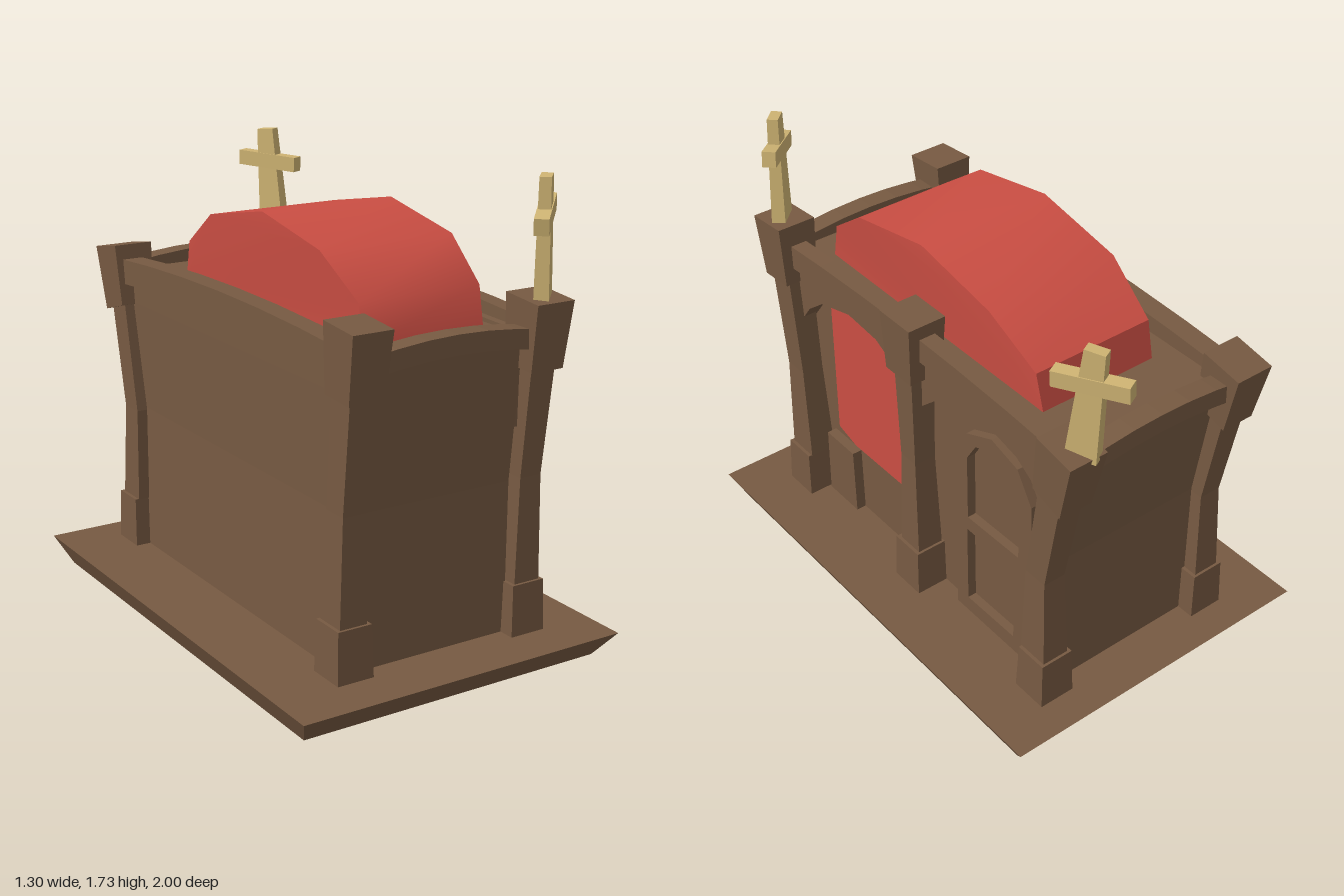
import * as THREE from 'three';
import { toCreasedNormals } from 'three/addons/utils/BufferGeometryUtils.js';

const wood = new THREE.MeshStandardMaterial({ color: 0x775a42 });
wood.name = 'brown wood';
const cloth = new THREE.MeshStandardMaterial({ color: 0xcb4e43 });
cloth.name = 'red cloth';
const gold = new THREE.MeshStandardMaterial({ color: 0xcfb473 });
gold.name = 'pale gold';

function add(parent, name, geometry, material) {
  const mesh = new THREE.Mesh(geometry, material);
  mesh.name = name;
  parent.add(mesh);
  return mesh;
}

// Four-sided solid through sections [x0, x1, z0, z1, y at z1, y at z0]
function loft(sections) {
  const rings = sections.map(([x0, x1, z0, z1, yF, yB = yF]) =>
    [[x0, yF, z1], [x1, yF, z1], [x1, yB, z0], [x0, yB, z0]]);
  const out = [];
  const quad = (a, b, c, d) => out.push(...a, ...b, ...c, ...a, ...c, ...d);
  for (let r = 0; r < rings.length - 1; r++) {
    for (let i = 0; i < 4; i++) {
      const j = (i + 1) % 4;
      quad(rings[r][i], rings[r][j], rings[r + 1][j], rings[r + 1][i]);
    }
  }
  const b = rings[0], t = rings[rings.length - 1];
  quad(b[3], b[2], b[1], b[0]);
  quad(t[0], t[1], t[2], t[3]);
  const g = new THREE.BufferGeometry();
  g.setAttribute('position', new THREE.Float32BufferAttribute(out, 3));
  g.computeVertexNormals();
  return g;
}

const outline = (pts) => pts.map(([z, y]) => new THREE.Vector2(-z, y));

// Plate drawn in [z, y] and extruded along x from x0 to x1
function sidePlate(pts, x0, x1, holes = []) {
  const shape = new THREE.Shape(outline(pts));
  holes.forEach((h) => shape.holes.push(new THREE.Path(outline(h))));
  const g = new THREE.ExtrudeGeometry(shape, { depth: x1 - x0, bevelEnabled: false });
  return g.rotateY(Math.PI / 2).translate(x0, 0, 0);
}

// Gently arched beam outline as [u, y] points
function arch(u0, u1, yEnd, yMid, h) {
  const top = [], bottom = [];
  for (let i = 0; i <= 6; i++) {
    const t = i / 6, y = yEnd + (yMid - yEnd) * (1 - (2 * t - 1) ** 2);
    top.push([u0 + (u1 - u0) * t, y]);
    bottom.unshift([u0 + (u1 - u0) * t, y - h]);
  }
  return [...top, ...bottom];
}

// Pillar with plinth, bent shaft and cap; sections are [half width, z0, z1, yFront, yBack]
function pillar(parent, name, cx, plinth, shaft, cap) {
  const g = new THREE.Group();
  g.name = name;
  parent.add(g);
  const build = (rows) => loft(rows.map(([w, z0, z1, yF, yB]) => [cx - w, cx + w, z0, z1, yF, yB]));
  add(g, 'plinth', build(plinth), wood);
  add(g, 'shaft', build(shaft), wood);
  add(g, 'cap', build(cap), wood);
}

function cross(parent, name, pos, turn, lean, armTilt, armLength, height, armY) {
  const g = new THREE.Group();
  g.name = name;
  g.position.set(...pos);
  g.rotation.y = turn;
  parent.add(g);
  const post = add(g, 'crossPost', loft([
    [-0.055, 0.055, -0.026, 0.026, 0], [-0.036, 0.036, -0.02, 0.02, height]]), gold);
  post.rotation.z = lean;
  const arm = add(g, 'crossArm', new THREE.BoxGeometry(armLength, 0.058, 0.05), gold);
  arm.position.set(-Math.sin(lean) * armY, armY, 0);
  arm.rotation.z = armTilt;
}

export function createModel() {
  const model = new THREE.Group();
  model.name = 'confessionalBooth';

  // Flared platform
  add(model, 'platform', loft([[-0.6, 0.6, -0.83, 0.92, 0], [-0.65, 0.65, -0.91, 1, 0.1]]), wood);

  // Main body, widening towards the top
  add(model, 'body', loft([
    [-0.355, 0.32, -0.71, 0.77, 0.1], [-0.345, 0.32, -0.7, 0.77, 0.66],
    [-0.355, 0.32, -0.77, 0.81, 1.07], [-0.355, 0.32, -0.79, 0.825, 1.19]]), wood);

  // Pillars: four corners, plus one in the middle of the open side
  for (const [side, cx] of [['left', 0.379], ['right', -0.343]]) {
    pillar(model, side + 'FrontPillar', cx,
      [[0.071, 0.685, 0.832, 0.1], [0.066, 0.69, 0.825, 0.29]],
      [[0.053, 0.685, 0.815, 0.29], [0.044, 0.715, 0.815, 0.68], [0.05, 0.75, 0.862, 1.1]],
      [[0.067, 0.74, 0.88, 1.07, 1.08], [0.077, 0.745, 0.915, 1.31, 1.325]]);
    pillar(model, side + 'BackPillar', cx,
      [[0.071, -0.78, -0.635, 0.1], [0.066, -0.775, -0.645, 0.29]],
      [[0.053, -0.765, -0.64, 0.29], [0.044, -0.75, -0.65, 0.65], [0.05, -0.83, -0.72, 1.07]],
      [[0.067, -0.845, -0.708, 1.065, 1.025], [0.077, -0.902, -0.735, 1.295, 1.265]]);
  }
  pillar(model, 'middlePillar', 0.379,
    [[0.071, -0.05, 0.095, 0.1], [0.066, -0.045, 0.09, 0.29]],
    [[0.053, -0.035, 0.075, 0.29], [0.044, -0.02, 0.065, 0.7], [0.05, -0.025, 0.075, 1.1]],
    [[0.067, -0.045, 0.1, 1.08], [0.077, -0.06, 0.11, 1.32]]);

  // Arched beams around the roof
  const sideBeam = arch(-0.79, 0.82, 1.235, 1.267, 0.095);
  add(model, 'leftBeam', sidePlate(sideBeam, 0.345, 0.41), wood);
  add(model, 'rightBeam', sidePlate(sideBeam, -0.39, -0.31), wood);
  for (const [name, z] of [['frontBeam', 0.79], ['backBeam', -0.85]]) {
    const shape = new THREE.Shape(arch(-0.34, 0.38, 1.21, 1.243, 0.07).map((p) => new THREE.Vector2(...p)));
    add(model, name, new THREE.ExtrudeGeometry(shape, { depth: 0.078, bevelEnabled: false }).translate(0, 0, z), wood);
  }

  // Arched panels above the two bays
  add(model, 'curtainArch', sidePlate([
    [0.8, 1.2], [0.79, 0.86], [0.75, 0.9], [0.69, 0.98], [0.6, 1.05], [0.42, 1.1],
    [0.25, 1.085], [0.12, 1.02], [0.06, 0.95], [0.03, 1.22]], 0.315, 0.385), wood);
  add(model, 'doorArch', sidePlate([
    [0.03, 1.22], [-0.01, 0.94], [-0.1, 1.02], [-0.24, 1.08], [-0.38, 1.1],
    [-0.55, 1.06], [-0.66, 0.99], [-0.74, 0.92], [-0.78, 1.2]], 0.315, 0.385), wood);

  // Curtain hanging in the bay, and the kneeler below it
  add(model, 'curtain', sidePlate([
    [0.61, 0.445], [0.5, 0.415], [0.17, 0.42], [0.165, 1.04], [0.25, 1.09], [0.42, 1.105],
    [0.61, 1.055]], 0.315, 0.34), cloth);
  add(model, 'kneeler', sidePlate([[0.675, 0.1], [0.49, 0.1], [0.495, 0.385], [0.67, 0.385]], 0.315, 0.36), wood);

  // Door with one rectangular and one arched sunken panel
  add(model, 'door', sidePlate([
    [-0.17, 0.1], [-0.18, 0.85], [-0.24, 0.95], [-0.38, 1.01], [-0.52, 0.97], [-0.595, 0.85], [-0.605, 0.1],
  ], 0.315, 0.355, [
    [[-0.235, 0.165], [-0.5, 0.17], [-0.52, 0.505], [-0.235, 0.505]],
    [[-0.24, 0.565], [-0.525, 0.575], [-0.545, 0.8], [-0.5, 0.9], [-0.38, 0.955], [-0.29, 0.92], [-0.24, 0.84]],
  ]), wood);

  // Rounded cloth roof, narrowing at its two ends
  const roof = sidePlate([
    [0.67, 1.18], [0.635, 1.33], [0.44, 1.47], [0.07, 1.54], [-0.3, 1.47], [-0.515, 1.33], [-0.55, 1.18],
  ], -0.24, 0.3);
  const p = roof.attributes.position;
  for (let i = 0; i < p.count; i++) {
    const edge = Math.max(0, Math.abs(p.getZ(i) - 0.06) - 0.4) / 0.21;
    p.setX(i, 0.03 + (p.getX(i) - 0.03) * (1 - 0.11 * Math.min(edge, 1)));
  }
  add(model, 'clothRoof', toCreasedNormals(roof, 0.75), cloth);

  // Crooked crosses on the two left corner pillars
  cross(model, 'frontCross', [0.385, 1.29, 0.835], Math.PI / 4, 0.05, 0.18, 0.25, 0.435, 0.305);
  cross(model, 'backCross', [0.362, 1.25, -0.852], -1.1, 0.08, -0.05, 0.262, 0.42, 0.29);

  return model;
}
